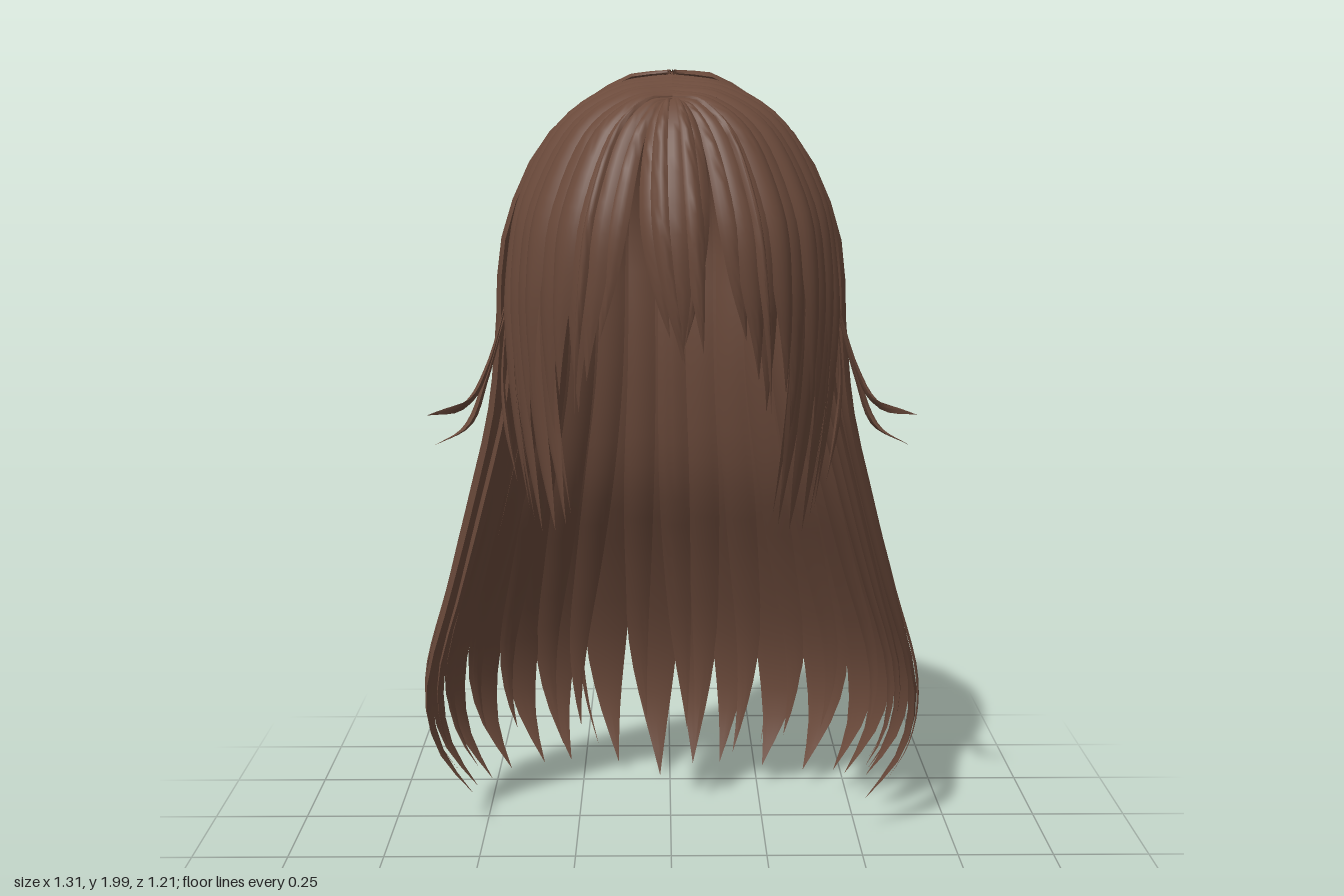
import * as THREE from 'three';
import { toCreasedNormals } from 'three/addons/utils/BufferGeometryUtils.js';

const hairBrown = new THREE.MeshStandardMaterial({ color: 0x6b4a3b, side: THREE.DoubleSide });
hairBrown.name = 'hairBrown';

const rad = THREE.MathUtils.degToRad;
let seed = 7;
const jitter = (amount) => {
  seed = (seed * 16807) % 2147483647;
  return (seed / 2147483647 * 2 - 1) * amount;
};

// Hair surface from elliptical rings [y, rx, zCentre, rz], top to bottom;
// lift raises points and square pushes out the diagonals.
function hairSurface(rings, lift, square) {
  const size = new THREE.CatmullRomCurve3(rings.map(([y, rx, , rz]) => new THREE.Vector3(rx, y, rz)), false, 'catmullrom', 0.5);
  const centre = new THREE.CatmullRomCurve3(rings.map(([, , z]) => new THREE.Vector3(0, 0, z)), false, 'catmullrom', 0.5);
  return (angle, t) => {
    const p = size.getPoint(t);
    const k = 1 + square * Math.sin(2 * angle) ** 2 * t * t;
    return new THREE.Vector3(k * p.x * Math.sin(angle), p.y + lift(angle, t), centre.getPoint(t).z + k * p.z * Math.cos(angle));
  };
}

const backSurface = hairSurface([
  [1.99, 0.01, 0.215, 0.01], [1.97, 0.12, 0.18, 0.21], [1.84, 0.285, 0.17, 0.355],
  [1.63, 0.38, 0.165, 0.43], [1.4, 0.4, 0.16, 0.43], [1.2, 0.425, 0.13, 0.415],
  [0.95, 0.49, 0.05, 0.385], [0.7, 0.56, -0.03, 0.425], [0.42, 0.635, -0.085, 0.48],
  [0.2, 0.62, -0.11, 0.48], [0.0, 0.52, -0.11, 0.42],
], (a, t) => 0.11 * Math.sin(a) ** 2 * t ** 6, 0.06);

const frontSurface = hairSurface([
  [1.93, 0, 0.18, 0.23], [1.92, 0.12, 0.18, 0.28], [1.85, 0.24, 0.18, 0.335],
  [1.7, 0.325, 0.18, 0.395], [1.55, 0.352, 0.18, 0.405], [1.4, 0.36, 0.18, 0.385],
  [1.2, 0.35, 0.18, 0.34], [0.96, 0.315, 0.2, 0.3],
], (a, t) => 0.055 * (1 - Math.cos(a)) * (1 - t) ** 2, -0.02);

// Direction away from the head
const outward = (p) => new THREE.Vector3(p.x, p.y - Math.min(p.y, 1.5), p.z - 0.17).normalize();

// Lens-shaped lock; place(u, s) gives the point at length u and side s in -1..1.
function lockMesh(name, place, thickness, steps = 26) {
  const half = 6, ring = half * 2, pos = [], index = [];
  for (let i = 0; i <= steps; i++) {
    const u = i / steps;
    const body = thickness * Math.min(1, 0.25 + u * 1.3) * Math.min(1, (1 - u) * 3);
    for (let j = 0; j < ring; j++) {
      const s = j <= half ? (j / half) * 2 - 1 : 1 - ((j - half) / half) * 2;
      const p = place(u, s);
      p.addScaledVector(outward(p), body * (1 - s * s) * (j <= half ? 1 : -0.6));
      pos.push(p.x, p.y, p.z);
    }
  }
  for (let i = 0; i < steps; i++) for (let j = 0; j < ring; j++) {
    const a = i * ring + j, d = i * ring + (j + 1) % ring;
    index.push(a, a + ring, d + ring, a, d + ring, d);
  }
  const geo = new THREE.BufferGeometry();
  geo.setAttribute('position', new THREE.Float32BufferAttribute(pos, 3));
  geo.setIndex(index);
  const mesh = new THREE.Mesh(toCreasedNormals(geo, 1.0), hairBrown);
  mesh.name = name;
  return mesh;
}

// Lock lying on a hair surface; angles in degrees.
function surfaceLock(name, surface, { angle, width, end = 1, start = 0, sway = 0, out = 0, thick = 0.02, taper = 0.6 }) {
  return lockMesh(name, (u, s) => {
    const w = 1 - Math.max(0, (u - taper) / (1 - taper)) ** 1.7;
    const t = start + (end - start) * u;
    const p = surface(rad(angle + sway * u ** 3 + width * w * s), t);
    return p.addScaledVector(outward(p), out * Math.min(1, 0.2 + u * 2));
  }, thick);
}

// Free lock along a path, thin at both ends.
function wispLock(name, points, width) {
  const curve = new THREE.CatmullRomCurve3(points.map((p) => new THREE.Vector3(...p)));
  return lockMesh(name, (u, s) => {
    const p = curve.getPoint(u);
    const side = outward(p).cross(curve.getTangent(u)).normalize();
    return p.addScaledVector(side, s * width * Math.sin(Math.PI * (0.12 + 0.88 * u)));
  }, width * 0.5, 14);
}

export function createModel() {
  const model = new THREE.Group();
  model.name = 'longHair';
  const part = (name) => {
    const g = new THREE.Group();
    g.name = name;
    model.add(g);
    return g;
  };

  // Long back hair: broad outer locks fanning from the crown
  const back = part('backHair');
  const count = 16;
  for (let i = 0; i < count; i++) {
    const a = -87 + (174 * i) / (count - 1);
    back.add(surfaceLock('backLock', backSurface, {
      angle: 180 + a, width: 7.2 + jitter(0.8), end: 0.985 + jitter(0.015), sway: jitter(3),
      out: jitter(0.01), thick: 0.02, taper: 0.7 + jitter(0.05),
    }));
  }
  // Inner layer closing the gaps
  for (let i = 0; i < count - 1; i++) {
    const a = -80 + (160 * i) / (count - 2);
    back.add(surfaceLock('innerBackLock', backSurface, {
      angle: 180 + a, width: 5.2, start: 0.06, end: 0.94 + jitter(0.03), sway: jitter(5),
      out: -0.022 + jitter(0.008), thick: 0.016, taper: 0.55,
    }));
  }

  // Thin loose strands outside the back hair
  const strands = part('looseStrands');
  for (const side of [-1, 1]) for (const a of [82, 66, 24]) {
    strands.add(surfaceLock('looseStrand', backSurface, {
      angle: 180 + side * a, width: 0.6, start: 0.45, end: 0.96, sway: side * jitter(6),
      out: 0.018, thick: 0.005, taper: 0.7,
    }));
  }

  // Fringe and side hair: [angle, half width, end ring, sway, offset]
  const fringe = part('fringe');
  const bangs = [
    [20, 5, 4.8, 7, -0.016], [27, 6, 5.3, 5, -0.008], [34, 7, 5.6, 3, -0.014],
    [41, 6, 5.5, 4, -0.004], [49, 7, 5.9, 2, -0.008], [57, 6, 5.8, 3, 0.004],
    [65, 7, 6.1, 2, 0], [72, 6, 6, 2, 0.008], [24, 5, 5, 9, -0.026],
    [37, 6, 5.7, 2, -0.026], [53, 6, 6, 2, -0.026], [30, 2, 5.7, 7, 0.004],
  ];
  const sides = [
    [60, 6, 6.7, -3, -0.03], [66, 7, 6.95, -2, -0.016], [73, 7, 7, 0, 0], [80, 6, 7, -1, -0.006],
    [87, 6, 6.95, -4, 0.006], [77, 5, 6.8, 3, 0.014], [92, 5, 6.5, -3, 0.002],
    [70, 7, 6.95, 0, -0.055], [80, 7, 6.9, 0, -0.08],
  ];
  const sideHair = part('sideHair');
  for (const side of [-1, 1]) {
    for (const [group, name, list, taper] of [[fringe, 'fringeLock', bangs, 0.6], [sideHair, 'sideLock', sides, 0.86]]) {
      for (const [angle, width, end, sway, out] of list) {
        group.add(surfaceLock(name, frontSurface, {
          angle: side * angle, width, end: end / 7, sway: side * sway, out, thick: 0.015, taper,
        }));
      }
    }
  }

  // Middle fringe hanging over the forehead
  const middle = [[-10, 5, 4.7, 9, -0.004], [0, 7, 5, 3, 0.006], [10, 5, 4.8, -6, -0.002], [-6, 4, 5.05, 10, 0.01], [6, 4, 4.9, 4, 0.008]];
  for (const [angle, width, end, sway, out] of middle) {
    fringe.add(surfaceLock('middleFringeLock', frontSurface, {
      angle, width, end: end / 7, sway, out, thick: 0.014, taper: 0.55,
    }));
  }

  // Flicked wisps beside the cheeks
  const wisps = part('cheekWisps');
  for (const s of [-1, 1]) {
    wisps.add(
      wispLock('upperWisp', [[s * 0.38, 1.48, 0.18], [s * 0.425, 1.33, 0.19], [s * 0.47, 1.25, 0.22], [s * 0.56, 1.23, 0.27]], 0.02),
      wispLock('lowerWisp', [[s * 0.38, 1.46, 0.18], [s * 0.43, 1.3, 0.18], [s * 0.475, 1.19, 0.19], [s * 0.555, 1.145, 0.2]], 0.022),
      wispLock('hangingWisp', [[s * 0.38, 1.45, 0.19], [s * 0.39, 1.3, 0.2], [s * 0.38, 1.18, 0.21], [s * 0.36, 1.06, 0.22]], 0.016),
    );
  }
  return model;
}
